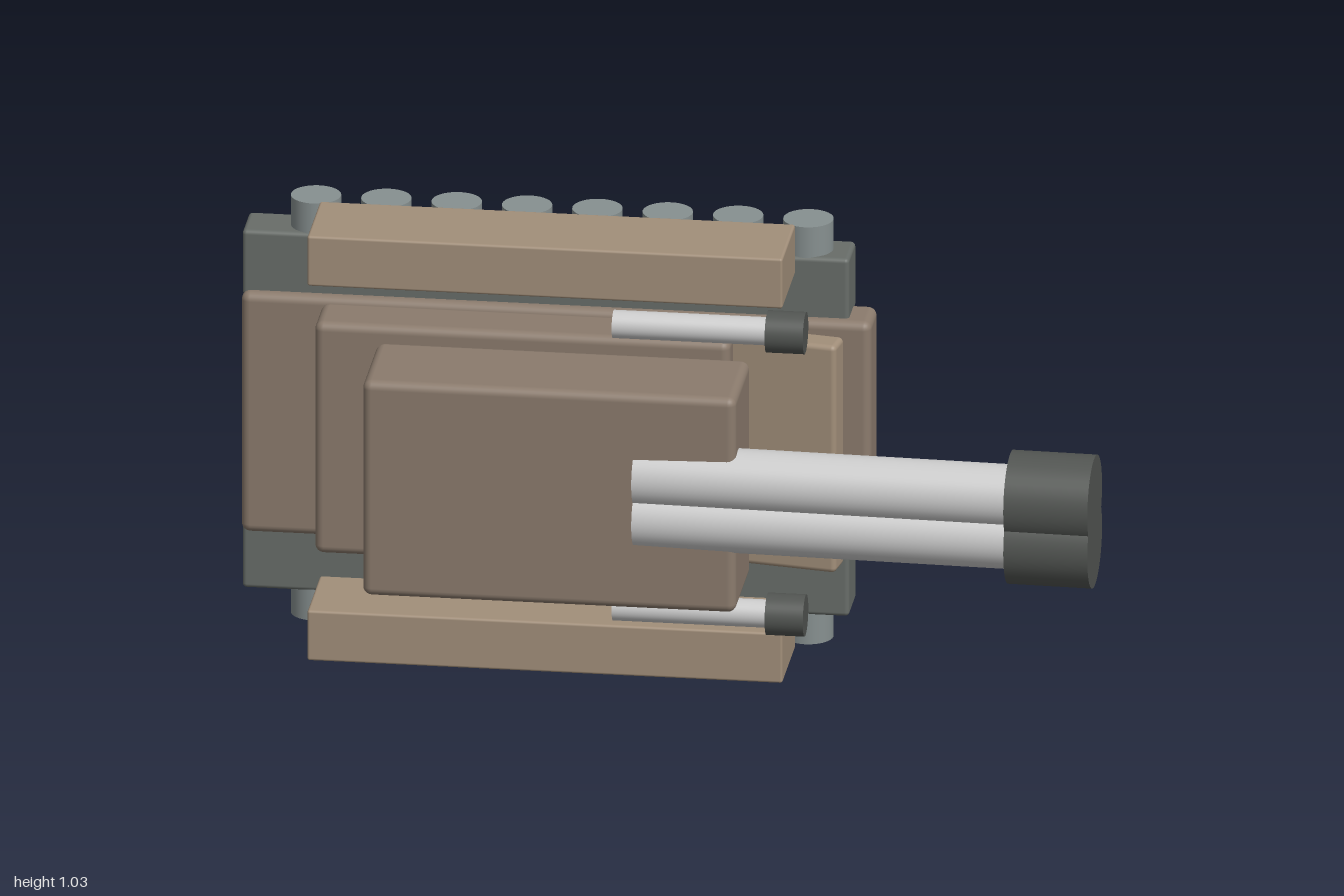
import * as THREE from 'three';
import { RoundedBoxGeometry } from 'three/addons/geometries/RoundedBoxGeometry.js';

const paint = (color) => new THREE.MeshStandardMaterial({ color });
const hullPaint = paint(0x8b7b6d);
const tanPaint = paint(0xa28f7a);
const trackPaint = paint(0x686d69);
const wheelPaint = paint(0x879090);
const darkPaint = paint(0x525552);
const steel = paint(0xcccccc);

const MID = 0.515; // mirror plane between the two sides

// Bevelled box given by its [min, max] extents
function box(name, x, y, z, radius, material) {
  const size = [x, y, z].map(([a, b]) => b - a);
  const mesh = new THREE.Mesh(new RoundedBoxGeometry(...size, 3, radius), material);
  mesh.position.set((x[0] + x[1]) / 2, (y[0] + y[1]) / 2, (z[0] + z[1]) / 2);
  mesh.name = name;
  return mesh;
}

// Cylinder lying along x
function rod(name, x0, x1, radius, material) {
  const geometry = new THREE.CylinderGeometry(radius, radius, x1 - x0, 40);
  geometry.rotateZ(-Math.PI / 2).translate((x0 + x1) / 2, 0, 0);
  const mesh = new THREE.Mesh(geometry, material);
  mesh.name = name;
  return mesh;
}

// Barrel with a thicker muzzle
function gun(name, start, joint, end, barrelRadius, muzzleRadius) {
  const group = new THREE.Group();
  group.name = name;
  group.add(rod('barrel', start, joint + 0.01, barrelRadius, steel));
  group.add(rod('muzzle', joint, end, muzzleRadius, darkPaint));
  return group;
}

export function createModel() {
  const model = new THREE.Group();
  model.name = 'tank';

  // Body, lying on its side
  model.add(box('hull', [-1, 0.433], [0.225, 0.805], [-0.307, -0.187], 0.02, hullPaint));
  model.add(box('deck', [-0.815, 0.13], [0.235, 0.795], [-0.19, -0.052], 0.02, hullPaint));
  model.add(box('turret', [-0.667, 0.182], [0.255, 0.775], [-0.012, 0.243], 0.02, hullPaint));

  // Tilted front plate
  const plate = box('frontPlate', [0.085, 0.375], [0.24, 0.79], [-0.165, -0.095], 0.012, tanPaint);
  plate.rotation.y = -0.16;
  model.add(plate);

  // Twin main guns, slightly raised
  for (const side of [-1, 1]) {
    const main = gun('mainGun', -0.05, 0.805, 0.997, 0.072, 0.105);
    main.position.set(0, MID + side * 0.05, 0.196);
    main.rotation.y = -0.028;
    model.add(main);
  }

  // Mirrored running gear, skirts and small guns
  for (const side of [-1, 1]) {
    const span = (near, far) => [MID + side * near, MID + side * far].sort((a, b) => a - b);
    model.add(box('track', [-1, 0.38], span(0.275, 0.433), [-0.331, -0.212], 0.01, trackPaint));
    model.add(box('skirt', [-0.823, 0.258], span(0.393, 0.514), [-0.21, 0.01], 0.006, tanPaint));

    const small = gun('sideGun', -0.125, 0.225, 0.312, 0.032, 0.048);
    small.position.set(0, MID + side * 0.342, 0.02);
    model.add(small);

    for (let i = 0; i < 8; i++) {
      const wheel = new THREE.Mesh(new THREE.CylinderGeometry(0.057, 0.057, 0.12, 32), wheelPaint);
      wheel.position.set(-0.84 + i * 0.16, MID + side * 0.445, -0.272);
      wheel.name = 'wheel';
      model.add(wheel);
    }
  }
  return model;
}
